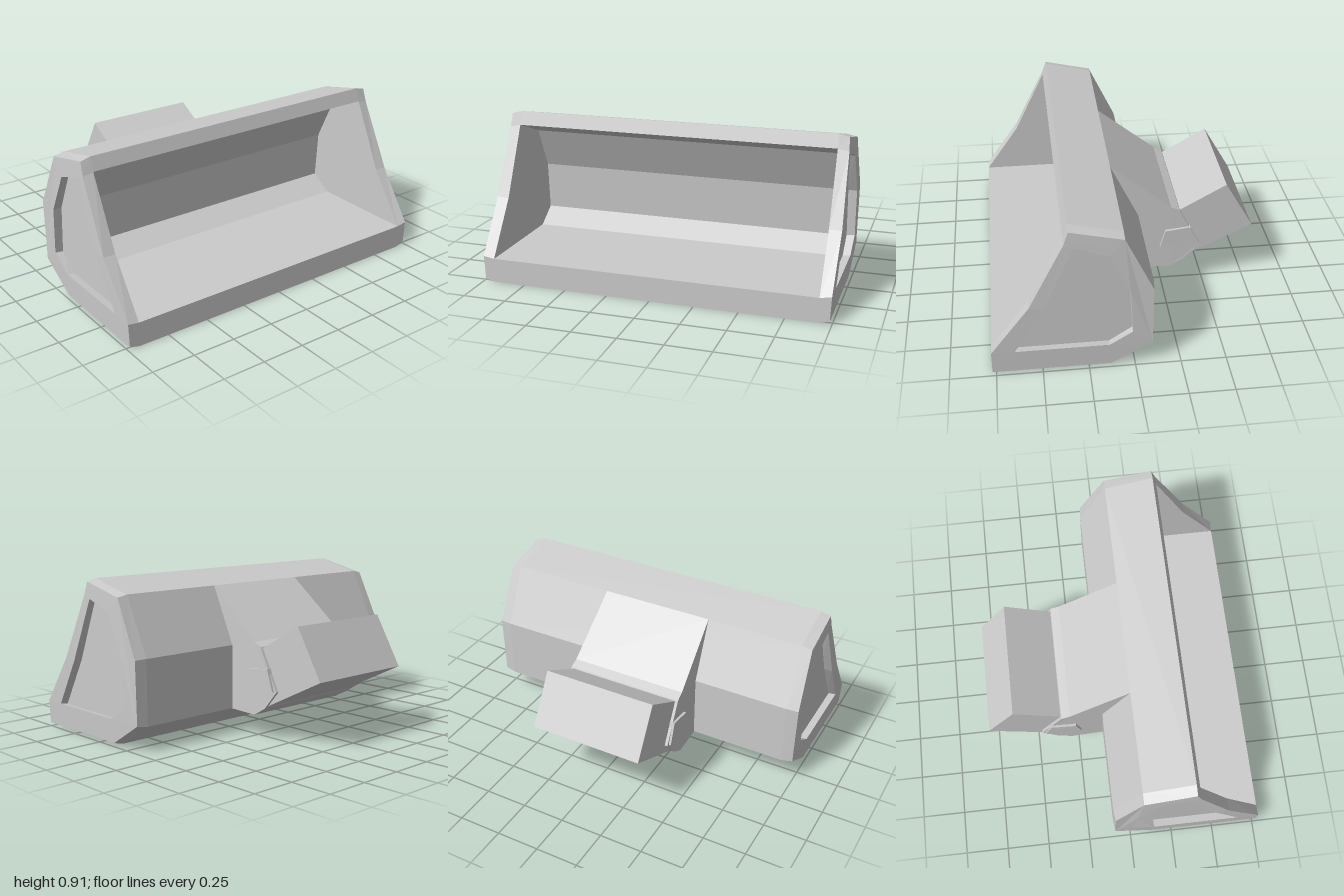
import * as THREE from 'three';

// Profiles are [z, y] pairs, swept along x.
const outer = [[0.77, 0], [0.77, 0.14], [0.56, 0.44], [0.37, 0.83], [0.345, 0.907],
  [0.06, 0.84], [-0.1, 0.51], [-0.1, 0.14], [0.13, 0]];
const inner = [[0.77, 0.14], [0.14, 0.14], [0.015, 0.225], [0.03, 0.505], [0.14, 0.745], [0.37, 0.83]];
const recess = [[0.645, 0.14], [0.14, 0.14], [0.015, 0.225], [0.03, 0.505], [0.14, 0.745],
  [0.32, 0.81], [0.48, 0.43]];
const mount = [[0.06, 0.84], [-0.29, 0.553], [-0.34, 0.53], [-0.465, 0.29], [-0.375, 0.185],
  [-0.29, 0.135], [-0.09, 0.137], [-0.09, 0.51]];
const block = [[-0.34, 0.52], [-0.61, 0.673], [-0.775, 0.39], [-0.39, 0.2], [-0.3, 0.3]];
const earFrame = [[-0.23, 0.285], [-0.26, 0.397], [-0.405, 0.415], [-0.447, 0.29]];
const earPocket = [[-0.258, 0.297], [-0.27, 0.38], [-0.395, 0.395], [-0.422, 0.308]];

const CX = -0.028; // the coupling sits slightly off centre

const toPoints = (p) => p.map(([z, y]) => new THREE.Vector2(-z, y));

function sweep(profile, x0, x1, hole) {
  const shape = new THREE.Shape(toPoints(profile));
  if (hole) shape.holes.push(new THREE.Path(toPoints(hole)));
  const geo = new THREE.ExtrudeGeometry(shape, { depth: x1 - x0, bevelEnabled: false });
  return geo.rotateY(Math.PI / 2).translate(x0, 0, 0);
}

// Same sweep on the left (+x) or right (-x) of a centre line
const sideSweep = (profile, side, a, b, hole, c = 0) =>
  side > 0 ? sweep(profile, c + a, c + b, hole) : sweep(profile, c - b, c - a, hole);

function reshape(geo, rule) {
  const pos = geo.attributes.position;
  const v = new THREE.Vector3();
  for (let i = 0; i < pos.count; i++) {
    rule(v.fromBufferAttribute(pos, i));
    pos.setXYZ(i, v.x, v.y, v.z);
  }
  geo.computeVertexNormals();
  return geo;
}

// Draw the outer face of an end plate in slightly
function taperEnd(v) {
  if (Math.abs(v.x) < 0.97) return;
  const t = (v.y - 0.455) / 0.455;
  v.x -= Math.sign(v.x) * 0.012 * t * t;
  v.y = 0.455 + t * 0.44;
  if (v.z < 0) v.z += 0.008;
}

export function createModel() {
  const group = new THREE.Group();
  const material = new THREE.MeshStandardMaterial({ color: 0xcccccc, flatShading: true });
  const add = (name, geo) => {
    const mesh = new THREE.Mesh(geo, material);
    mesh.name = name;
    group.add(mesh);
  };

  // Trough: floor, back and hood in one folded section
  const front = [outer[0], ...inner, ...outer.slice(4)];
  add('bucketShell', sweep(front, -0.93, 0.93));

  // End plates with a sunken panel, and the ears of the coupling
  for (const side of [1, -1]) {
    const name = side > 0 ? 'left' : 'right';
    add(name + 'EndPlate', reshape(sideSweep(outer, side, 0.93, 1, recess), taperEnd));
    add(name + 'EndPanel', sideSweep(recess, side, 0.93, 0.95));
    add(name + 'Ear', sideSweep(earFrame, side, 0.33, 0.363, earPocket, CX));
    add(name + 'EarPanel', sideSweep(earPocket, side, 0.33, 0.353, null, CX));
  }

  // Coupling behind the bucket, widening a little toward the rear
  add('couplingMount', reshape(sweep(mount, CX - 0.335, CX + 0.335), (v) => {
    const t = THREE.MathUtils.clamp((0.06 - v.z) / 0.4, 0, 1);
    v.x = CX + Math.sign(v.x - CX) * (0.335 + 0.015 * t);
  }));
  add('armBlock', sweep(block, CX - 0.333, CX + 0.333));

  return group;
}
